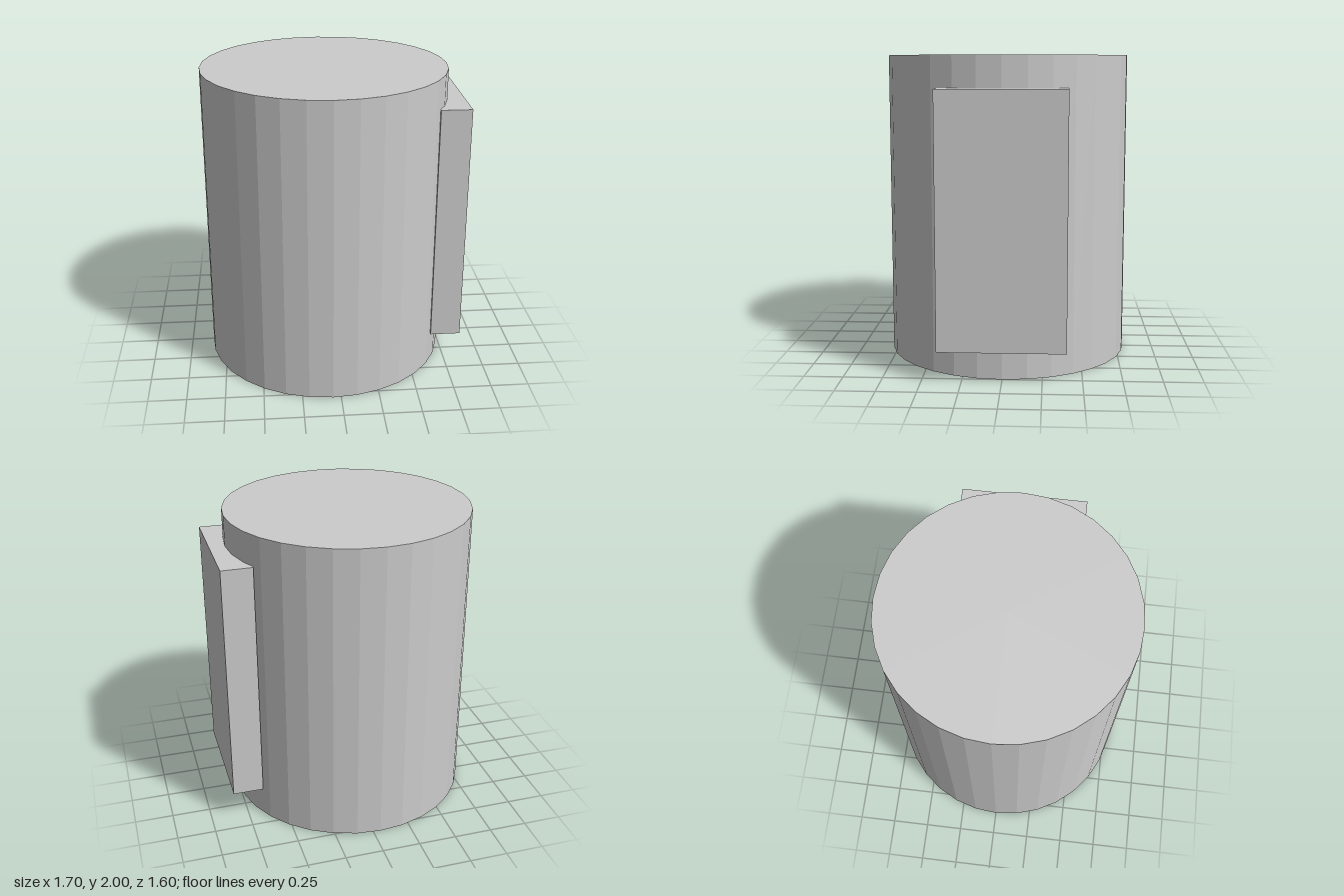
import * as THREE from 'three';

export function createModel() {
  const model = new THREE.Group();
  const material = new THREE.MeshStandardMaterial({ color: 0xcccccc, flatShading: true });

  const addPart = (name, geometry, x, y, z) => {
    const mesh = new THREE.Mesh(geometry, material);
    mesh.name = name;
    mesh.position.set(x, y, z);
    model.add(mesh);
  };

  // Upright faceted drum
  addPart('body', new THREE.CylinderGeometry(0.8, 0.8, 2, 32), -0.05, 1, 0);

  // Flat slab set into the model's left side
  addPart('sidePanel', new THREE.BoxGeometry(0.2, 1.6, 0.8), 0.75, 1, 0);

  return model;
}
